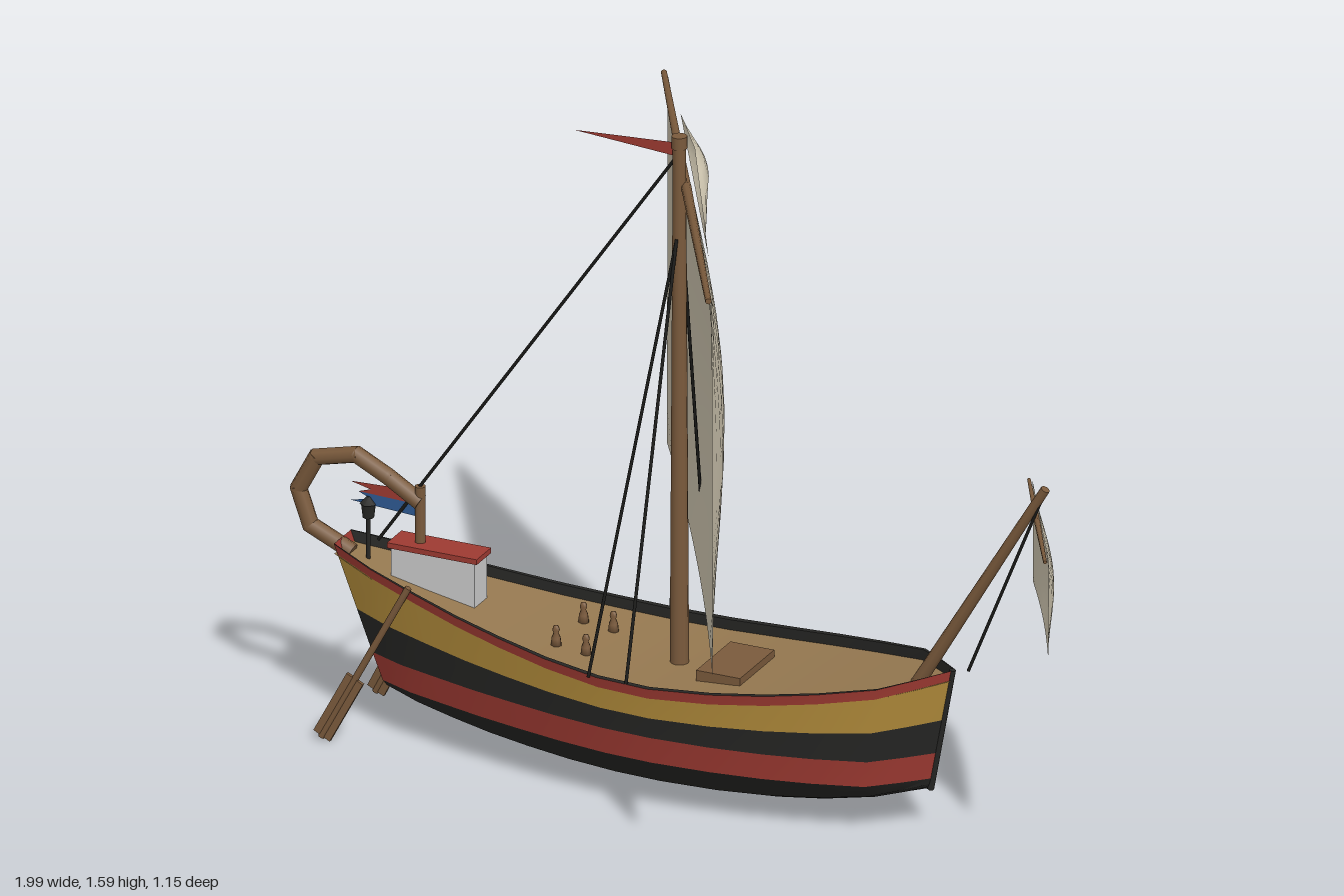
import * as THREE from 'three';
import { toCreasedNormals } from 'three/addons/utils/BufferGeometryUtils.js';

const mat = (color) => new THREE.MeshStandardMaterial({ color, side: THREE.DoubleSide });
const M = {
  yellow: mat(0xb08a3a), red: mat(0x9e3a32), black: mat(0x262624), deck: mat(0x957850),
  wood: mat(0x7a5a3c), sail: mat(0xcfc6b0), blue: mat(0x2f5a94), rope: mat(0x1a1a18), wall: mat(0xcccccc),
};
const V = (x, y, z = 0) => new THREE.Vector3(x, y, z);

// Surface through a grid of points: fn(i, j) gives the point
function grid(fn, nu, nv, crease = 0.6) {
  const pos = [], idx = [];
  for (let i = 0; i <= nu; i++) for (let j = 0; j <= nv; j++) pos.push(...fn(i, j));
  for (let i = 0; i < nu; i++) for (let j = 0; j < nv; j++) {
    const a = i * (nv + 1) + j, b = a + nv + 1;
    idx.push(a, b, b + 1, a, b + 1, a + 1);
  }
  const g = new THREE.BufferGeometry();
  g.setAttribute('position', new THREE.Float32BufferAttribute(pos, 3));
  g.setIndex(idx);
  return toCreasedNormals(g, crease);
}

// Hull lines: deck-edge stations as [x, half width]
const stations = [[-0.87, 0.045], [-0.76, 0.085], [-0.64, 0.115], [-0.52, 0.145], [-0.4, 0.17], [-0.27, 0.195],
  [-0.13, 0.214], [0, 0.22], [0.15, 0.211], [0.28, 0.193], [0.4, 0.167], [0.53, 0.128], [0.6, 0.066], [0.66, 0.008]];
const ring = [...stations, ...stations.map(([x, w]) => [x, -w]).reverse(), stations[0]];
const sheer = (x) => 0.325 + (x < -0.05
  ? 0.125 * ((-0.05 - x) / 0.82) ** 1.6
  : 0.085 * ((x + 0.05) / 0.71) ** 1.6);
const keel = (x) => 0.02 + 0.088 * Math.abs(x / (x < 0 ? 0.87 : 0.66)) ** 2.5;
const deckY = (x) => sheer(x) - 0.025;

// Heights of the painted bands, each row as [height at x, share of half width]
const rows = {
  keel: [keel, 0],
  floor: [(x) => keel(x) + 0.17 * (0.135 - keel(x)), 0.36],
  bilge: [(x) => keel(x) + 0.45 * (0.135 - keel(x)), 0.7],
  water: [() => 0.135, 0.91],
  wale: [() => 0.2, 0.955],
  strake: [(x) => 0.2 + 0.4 * (sheer(x) - 0.2), 0.98],
  railFoot: [(x) => sheer(x) - 0.025, 1],
  railTop: [sheer, 1.02],
  capInner: [sheer, 0.955],
  railInner: [(x) => sheer(x) - 0.03, 0.955],
};
function hullBand(names) {
  return grid((i, j) => {
    const [x, w] = ring[i], [h, share] = rows[names[j]];
    const y = h(x), s = sheer(x);
    const rake = (x < 0 ? 0.15 : 0.085) * (s - y) / (s - keel(x));
    return [x * (1 - rake), y, w * share];
  }, ring.length - 1, names.length - 1);
}

export function createModel() {
  const ship = new THREE.Group();
  ship.name = 'sailingShip';
  const add = (name, geo, material, p) => {
    const m = new THREE.Mesh(geo, material);
    m.name = name;
    if (p) m.position.copy(p);
    ship.add(m);
    return m;
  };
  // Round bar between two points
  const rod = (name, a, b, r0, r1 = r0, material = M.wood, sides = 8) => {
    const m = add(name, new THREE.CylinderGeometry(r1, r0, a.distanceTo(b), sides), material,
      a.clone().add(b).multiplyScalar(0.5));
    m.quaternion.setFromUnitVectors(V(0, 1), b.clone().sub(a).normalize());
    return m;
  };
  const rope = (name, a, b) => rod(name, a, b, 0.004, 0.004, M.rope, 5);
  const box = (name, w, h, d, material, p) => add(name, new THREE.BoxGeometry(w, h, d), material, p);
  const flag = (name, points, material) =>
    add(name, new THREE.ShapeGeometry(new THREE.Shape(points.map(([x, y]) => new THREE.Vector2(x, y)))), material);

  // Hull bands, rail and deck
  add('hullBottom', hullBand(['keel', 'floor', 'bilge', 'water']), M.black);
  add('lowerBand', hullBand(['water', 'wale']), M.red);
  add('middleBand', hullBand(['wale', 'strake']), M.black);
  add('upperBand', hullBand(['strake', 'railFoot']), M.yellow);
  add('rail', hullBand(['railFoot', 'railTop']), M.red);
  add('railCap', hullBand(['railTop', 'capInner', 'railInner']), M.black);
  add('deck', grid((i, j) => {
    const [x, w] = stations[i];
    return [x, deckY(x), w * 0.97 * (1 - 2 * j)];
  }, stations.length - 1, 1), M.deck);
  rod('stem', V(0.605, 0.105), V(0.66, 0.41), 0.008, 0.008, M.black, 6);

  // Mast and pennant
  rod('mast', V(-0.025, 0.29), V(-0.025, 1.59), 0.022, 0.015, M.wood, 12);
  rod('mastCap', V(-0.025, 1.57), V(-0.025, 1.6), 0.018, 0.018, M.wood, 12);
  flag('pennant', [[-0.03, 1.582], [-0.29, 1.565], [-0.03, 1.548]], M.red);

  // Square sail hung from a yard turned 30 degrees
  const dir = V(0.5, 0, 0.866), out = V(0.866, 0, -0.5);
  const sail = (name, c, half, grow, top, bottom, belly) => {
    const nu = 14, nv = 10;
    add(name, grid((i, j) => {
      const u = i / nu * 2 - 1, v = j / nv;
      const bulge = belly * (1 - u * u) * (0.25 * v + Math.sin(Math.PI * v)) + 0.008;
      const p = c.clone().addScaledVector(dir, u * (half + grow * v)).addScaledVector(out, bulge);
      return [p.x, top + (bottom - top) * v, p.z];
    }, nu, nv, 1), M.sail);
  };
  const yard = (name, c, half, r) => {
    const a = c.clone().addScaledVector(dir, -half), b = c.clone().addScaledVector(dir, half);
    rod(name + 'Left', c, b, r, r * 0.6);
    rod(name + 'Right', c, a, r, r * 0.6);
  };
  yard('mainYard', V(-0.008, 1.477), 0.648, 0.012);
  sail('mainSail', V(-0.008, 0), 0.64, 0.025, 1.475, 0.555, 0.062);

  // Triangular topsail above the yard
  add('topSail', grid((i, j) => {
    const u = i / 8 * 2 - 1, v = j / 4;
    const p = V(0, 0).addScaledVector(dir, u * 0.41 * (1 - v))
      .addScaledVector(out, 0.012 + 0.03 * (1 - u * u) * Math.sin(Math.PI * v));
    return [p.x, 1.48 + 0.093 * v, p.z];
  }, 8, 4, 1), M.sail);

  // Bowsprit with its small sail
  rod('bowsprit', V(0.56, 0.34), V(0.893, 0.9), 0.017, 0.011);
  yard('foreYard', V(0.872, 0.818), 0.235, 0.007);
  sail('foreSail', V(0.872, 0), 0.228, -0.008, 0.816, 0.572, 0.025);
  rope('foreSailRope', V(0.885, 0.875), V(0.7, 0.415));

  // Rigging
  rope('backstay', V(-0.03, 1.55), V(-0.78, 0.46));
  for (const side of [1, -1]) for (const x of [-0.15, -0.055])
    rope('shroud', V(-0.025, 1.35, side * 0.015), V(x, 0.325, side * 0.218));

  // Curved stern ornament ending at a post
  const neck = [[-0.85, 0.42], [-0.95, 0.465], [-0.98, 0.55], [-0.935, 0.635], [-0.835, 0.66], [-0.755, 0.62], [-0.68, 0.575]];
  for (let i = 0; i < neck.length - 1; i++) {
    const a = V(...neck[i]), b = V(...neck[i + 1]), d = b.clone().sub(a).setLength(0.006);
    rod('sternNeck', a.sub(d), b.add(d), 0.02);
  }
  rod('sternPost', V(-0.675, 0.37), V(-0.675, 0.612), 0.013);
  flag('redStreamer', [[-0.68, 0.598], [-0.85, 0.592], [-0.8, 0.58], [-0.83, 0.57], [-0.68, 0.565]], M.red);
  flag('blueStreamer', [[-0.68, 0.565], [-0.83, 0.57], [-0.8, 0.557], [-0.85, 0.545], [-0.68, 0.535]], M.blue);

  // Stern lantern
  rod('lanternPole', V(-0.805, 0.4), V(-0.805, 0.52), 0.005, 0.005, M.black, 6);
  rod('lantern', V(-0.805, 0.51), V(-0.805, 0.545), 0.013, 0.017, M.black, 6);
  rod('lanternCap', V(-0.805, 0.545), V(-0.805, 0.562), 0.021, 0.004, M.black, 6);

  // Cabin and hatch
  box('cabin', 0.21, 0.115, 0.066, M.wall, V(-0.628, 0.405));
  box('cabinRoof', 0.225, 0.013, 0.076, M.red, V(-0.628, 0.468));
  box('hatch', 0.11, 0.03, 0.18, M.wood, V(0.115, deckY(0.115) + 0.008));

  // Jars standing on the deck
  const jar = new THREE.LatheGeometry([[0.001, 0], [0.013, 0], [0.011, 0.018], [0.006, 0.03], [0.009, 0.038], [0.006, 0.047], [0.001, 0.049]]
    .map(([r, y]) => new THREE.Vector2(r, y)), 8);
  for (const x of [-0.3, -0.225]) for (const side of [1, -1])
    add('jar', jar, M.wood, V(x, deckY(x), side * 0.072));

  // Steering oars
  for (const side of [1, -1]) {
    const top = V(-0.65, 0.41, side * 0.115), end = V(-0.855, 0.015, side * 0.142);
    rod('oarShaft', top, end, 0.008);
    const mid = top.clone().lerp(end, 0.8);
    const blade = box('oarBlade', 0.046, 0.17, 0.009, M.wood, mid);
    blade.quaternion.setFromUnitVectors(V(0, 1), top.clone().sub(end).normalize());
  }

  ship.position.z = 0.006;
  return ship;
}
